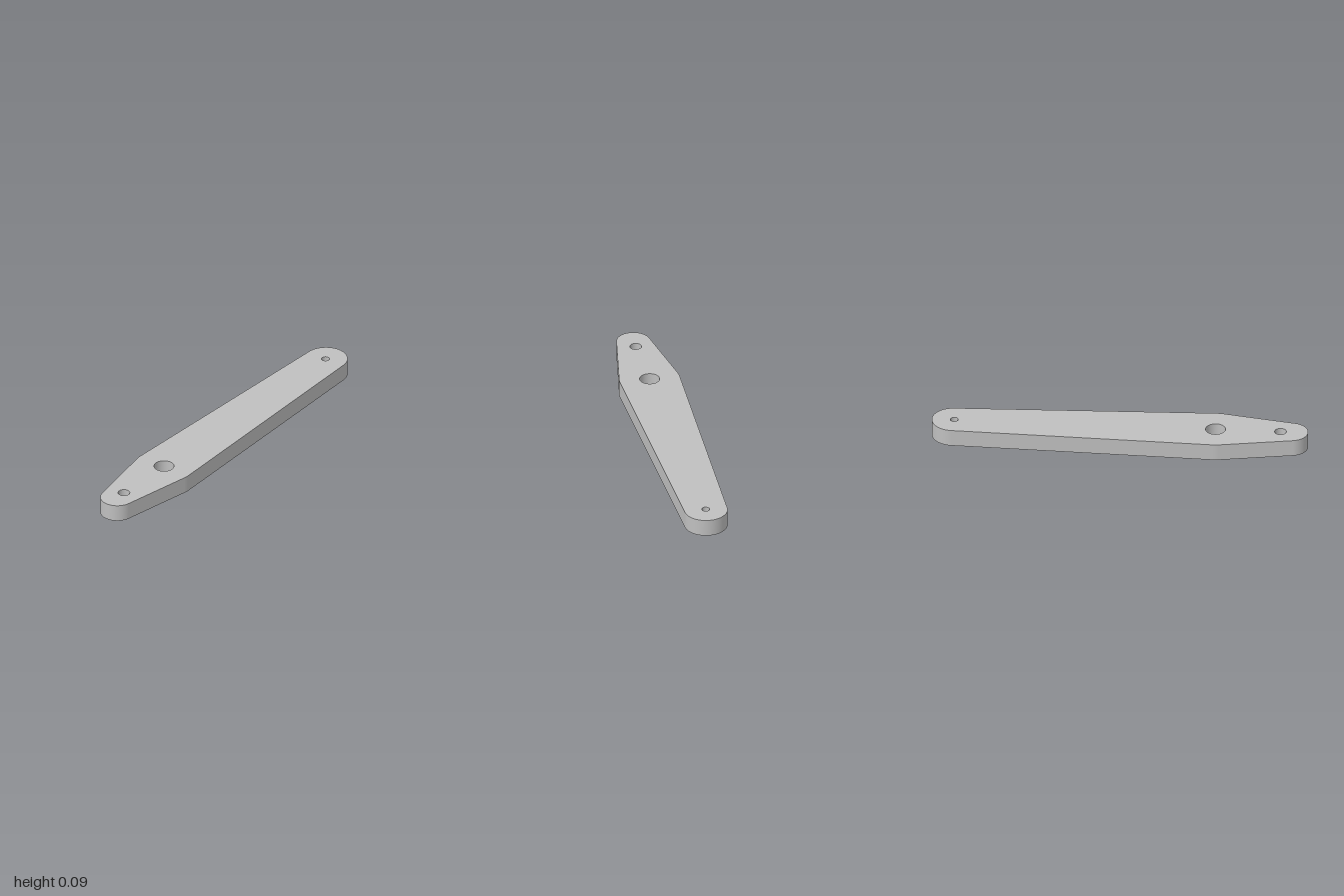
import * as THREE from 'three';

const HEIGHT = 0.093;
const RECESS = 0.023;
const PIVOT_X = -0.508;

// Points of a circle, counter-clockwise and closed
function circle(x, r, n = 48) {
  return new THREE.Path().absarc(x, 0, r, 0, Math.PI * 2).getPoints(n);
}

// Tapered outline: three circles joined by their common tangents
function outlinePoints() {
  const left = { x: -0.91, r: 0.09 }, mid = { x: PIVOT_X, r: 0.162 }, right = { x: 0.885, r: 0.115 };
  const q = Math.PI / 2;
  const a = Math.asin((mid.r - left.r) / (mid.x - left.x));
  const b = Math.asin((mid.r - right.r) / (right.x - mid.x));
  const path = new THREE.Path();
  path.absarc(right.x, 0, right.r, b - q, q - b);
  path.absarc(mid.x, 0, mid.r, q - b, q + a);
  path.absarc(left.x, 0, left.r, q + a, 3 * q - a);
  path.absarc(mid.x, 0, mid.r, 3 * q - a, 3 * q + b);
  path.closePath();
  return path.getPoints(24);
}

// Flat face with holes, facing up or down at height y
function flatFace(points, holes, y, up) {
  const shape = new THREE.Shape(points);
  shape.holes = holes.map((h) => new THREE.Path(h));
  const geo = new THREE.ShapeGeometry(shape);
  geo.rotateX(up ? -Math.PI / 2 : Math.PI / 2);
  return geo.translate(0, y, 0);
}

// Upright wall along closed points; reversed points make it face inward
function wall(points, y0, y1) {
  const geo = new THREE.PlaneGeometry(1, 1, points.length - 1, 1);
  const pos = geo.attributes.position;
  for (let i = 0; i < pos.count; i++) {
    const p = points[i % points.length];
    pos.setXYZ(i, p.x, i < points.length ? y1 : y0, -p.y);
  }
  geo.computeVertexNormals();
  return geo;
}

export function createModel() {
  const model = new THREE.Group();
  model.name = 'leverArm';
  const grey = new THREE.MeshStandardMaterial({ color: 0xbfbfbf });
  grey.name = 'grey';

  const add = (name, geo) => {
    const mesh = new THREE.Mesh(geo, grey);
    mesh.name = name;
    model.add(mesh);
  };

  const outline = outlinePoints();
  const pivot = circle(PIVOT_X, 0.053);
  const recess = circle(PIVOT_X, 0.15, 64);
  const shortEnd = circle(-0.853, 0.031);
  const longEnd = circle(0.881, 0.021);

  // Plate body
  add('topFace', flatFace(outline, [pivot, shortEnd, longEnd], HEIGHT, true));
  add('bottomFace', flatFace(outline, [recess, shortEnd, longEnd], 0, false));
  add('outerWall', wall(outline, 0, HEIGHT));

  // Round recess in the underside around the pivot
  add('recessFloor', flatFace(recess, [pivot], RECESS, false));
  add('recessWall', wall([...recess].reverse(), 0, RECESS));

  // Through holes
  add('pivotHole', wall([...pivot].reverse(), RECESS, HEIGHT));
  add('shortEndHole', wall([...shortEnd].reverse(), 0, HEIGHT));
  add('longEndHole', wall([...longEnd].reverse(), 0, HEIGHT));

  return model;
}
